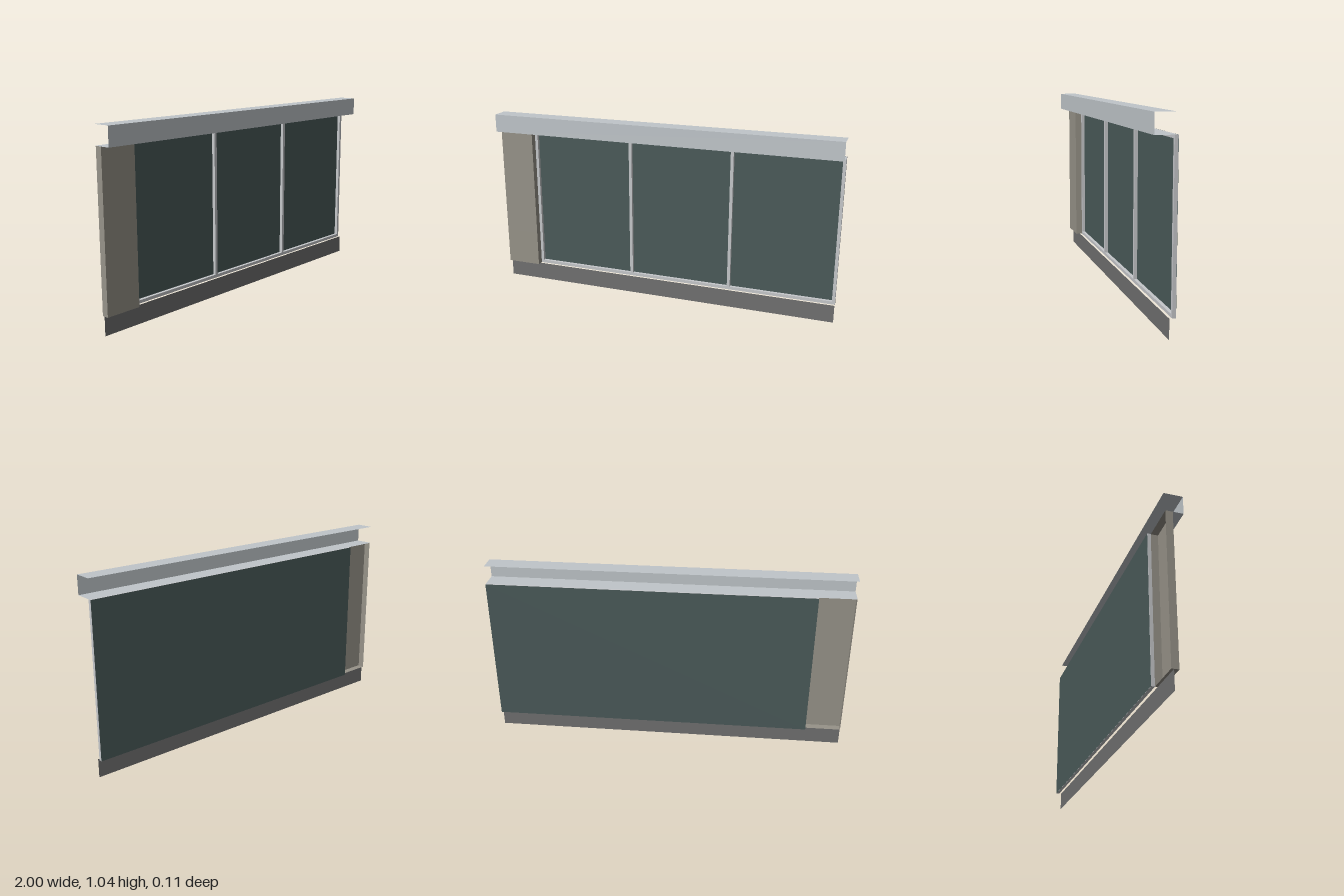
import * as THREE from 'three';

const material = (name, color, side = THREE.DoubleSide) => {
  const m = new THREE.MeshStandardMaterial({ color, side });
  m.name = name;
  return m;
};

export function createModel() {
  const fasciaGrey = material('fascia grey', 0xc0c6ca);
  const frameGrey = material('frame light grey', 0xc6c8cb, THREE.FrontSide);
  const wallStone = material('wall warm grey', 0x979389);
  const baseGrey = material('base dark grey', 0x707070);
  const glassGreen = material('glass dark green', 0x4a5a59);

  const model = new THREE.Group();
  model.name = 'windowWall';

  // Thin sheets facing z, y and x
  const sheet = (parent, name, mat, w, h, x, y, z, rx = 0, ry = 0) => {
    const mesh = new THREE.Mesh(new THREE.PlaneGeometry(w, h), mat);
    mesh.name = name;
    mesh.position.set(x, y, z);
    mesh.rotation.set(rx, ry, 0);
    parent.add(mesh);
  };
  const upright = (p, n, m, x0, x1, y0, y1, z) =>
    sheet(p, n, m, x1 - x0, y1 - y0, (x0 + x1) / 2, (y0 + y1) / 2, z);
  const level = (p, n, m, x0, x1, z0, z1, y) =>
    sheet(p, n, m, x1 - x0, z1 - z0, (x0 + x1) / 2, y, (z0 + z1) / 2, -Math.PI / 2);
  const sideways = (p, n, m, z0, z1, y0, y1, x) =>
    sheet(p, n, m, z1 - z0, y1 - y0, x, (y0 + y1) / 2, (z0 + z1) / 2, 0, Math.PI / 2);

  const bottom = 0.102, top = 0.935, roof = 1.036;
  const wallBack = -0.038, back = -0.056, split = -0.8;

  // Base skirting
  upright(model, 'base', baseGrey, -1, 1, 0, bottom, -0.025);

  // Fascia: a channel open to the back
  const fascia = new THREE.Group();
  fascia.name = 'fascia';
  upright(fascia, 'fasciaFront', fasciaGrey, -1, 1, top, roof, 0.056);
  level(fascia, 'fasciaTop', fasciaGrey, -1, 1, -0.044, 0.056, roof);
  level(fascia, 'soffit', fasciaGrey, -1, 1, -0.044, 0.056, top);
  model.add(fascia);

  // Hollow wall pier of four cladding boards with returned edges
  const wall = new THREE.Group();
  wall.name = 'wallPier';
  const board = (top - bottom) / 4;
  for (let i = 0; i < 4; i++) {
    const y = bottom + i * board;
    upright(wall, 'claddingBoard', wallStone, -1, split, y, y + board, 0);
    for (const x of [-1, split]) sideways(wall, 'boardReturn', wallStone, wallBack, 0, y, y + board, x);
  }
  level(wall, 'wallBottom', wallStone, -1, split, wallBack, 0, bottom);
  level(wall, 'wallTop', wallStone, -1, split, wallBack, 0, top - 0.001);
  model.add(wall);

  // Window frame with three openings
  const bar = 0.017;
  const shape = new THREE.Shape();
  shape.moveTo(split, bottom).lineTo(1, bottom).lineTo(1, top).lineTo(split, top).closePath();
  const pitch = (1 - split - bar) / 3;
  for (let i = 0; i < 3; i++) {
    const x0 = split + bar + i * pitch, x1 = x0 + pitch - bar;
    const y0 = bottom + bar, y1 = top - bar;
    const hole = new THREE.Path();
    hole.moveTo(x0, y0).lineTo(x0, y1).lineTo(x1, y1).lineTo(x1, y0).closePath();
    shape.holes.push(hole);
  }
  const frame = new THREE.Mesh(
    new THREE.ExtrudeGeometry(shape, { depth: wallBack - back, bevelEnabled: false }), frameGrey);
  frame.name = 'windowFrame';
  frame.position.z = back;
  model.add(frame);

  // Glass sheet behind the frame
  upright(model, 'glass', glassGreen, split, 1, bottom, top, back - 0.001);

  return model;
}
